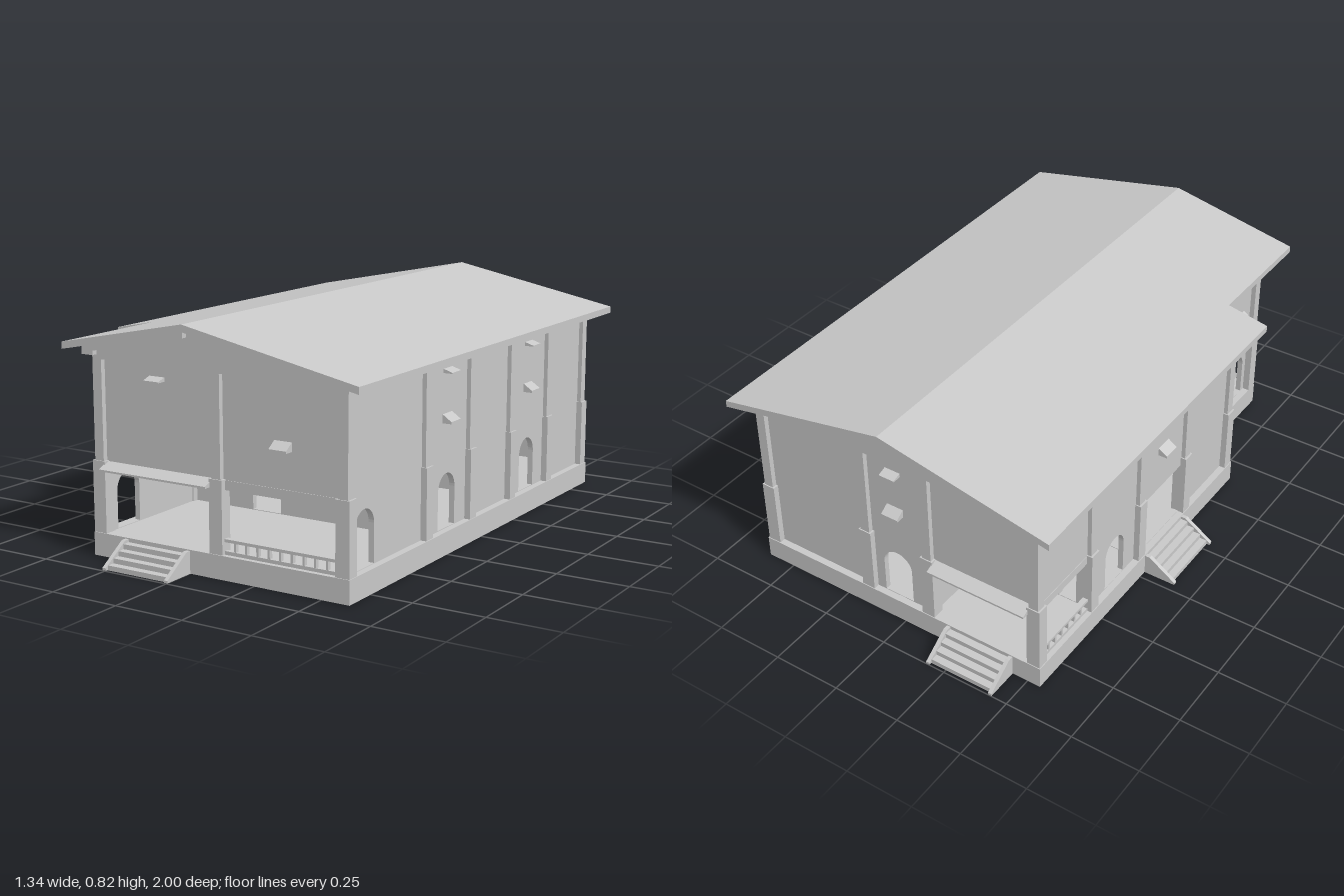
import * as THREE from 'three';

export function createModel() {
  const root = new THREE.Group();
  root.name = 'house';
  const plaster = new THREE.MeshStandardMaterial({ color: 0xc8c8c8, side: THREE.DoubleSide });
  plaster.name = 'grey plaster';

  const add = (name, geo, parent = root) => {
    const m = new THREE.Mesh(geo, plaster);
    m.name = name;
    parent.add(m);
    return m;
  };
  // Box given by its limits on each axis
  const box = (name, x0, x1, y0, y1, z0, z1, parent) => {
    const m = add(name, new THREE.BoxGeometry(x1 - x0, y1 - y0, z1 - z0), parent);
    m.position.set((x0 + x1) / 2, (y0 + y1) / 2, (z0 + z1) / 2);
    return m;
  };
  const poly = (pts) => new THREE.Shape(pts.map(([x, y]) => new THREE.Vector2(x, y)));
  const extrude = (shape, depth) =>
    new THREE.ExtrudeGeometry(shape, { depth, bevelEnabled: false, curveSegments: 10 });

  // L-shaped plan, inset by d, raised from y0 to y1; a second inset hollows it
  const outline = (d) => {
    const l = -0.55 + d, r = 0.605 - d, e = 0.88 - d, n = -0.39 + d, nz = 0.4 - d;
    return poly([[l, e], [l, -nz], [n, -nz], [n, -e], [r, -e], [r, e]]);
  };
  const plan = (name, d, y0, y1, inner) => {
    const s = outline(d);
    if (inner) s.holes.push(outline(inner));
    const g = extrude(s, y1 - y0);
    g.rotateX(-Math.PI / 2);
    add(name, g).position.y = y0;
  };
  plan('foundation', 0, 0, 0.08);
  plan('upperWalls', 0.025, 0.315, 0.665, 0.045);
  plan('firstFloor', 0.026, 0.306, 0.322);
  plan('secondFloor', 0.044, 0.49, 0.507);
  plan('atticFloor', 0.044, 0.652, 0.664);

  // Lower walls with arches (centre) and square doors (from, to, top)
  const T = 0.02, Y0 = 0.08, Y1 = 0.315;
  const wallShape = (a, b, arches, doors) => {
    const s = poly([[a, Y0], [b, Y0], [b, Y1], [a, Y1]]);
    for (const c of arches) {
      const h = new THREE.Path();
      h.moveTo(c - 0.058, Y0 + 0.002);
      h.lineTo(c + 0.058, Y0 + 0.002);
      h.lineTo(c + 0.058, 0.212);
      h.absarc(c, 0.212, 0.058, 0, Math.PI, false);
      h.closePath();
      s.holes.push(h);
    }
    for (const [p, q, top] of doors)
      s.holes.push(poly([[p, Y0 + 0.002], [q, Y0 + 0.002], [q, top], [p, top]]));
    return s;
  };
  const wallX = (name, z, a, b, arches = [], doors = []) => {
    add(name, extrude(wallShape(a, b, arches, doors), T)).position.z = z;
  };
  const wallZ = (name, xMax, a, b, arches = [], doors = []) => {
    const m = add(name, extrude(wallShape(a, b, arches, doors), T));
    m.rotation.y = -Math.PI / 2;
    m.position.x = xMax;
  };
  wallZ('leftWall', 0.58, -0.85, 0.85, [0.752, 0.222, -0.39]);
  wallZ('rightWall', -0.505, -0.545, 0.37, [-0.39], [[-0.215, 0.045, 0.29]]);
  wallZ('frontPorchSideWall', -0.345, 0.37, 0.85, [0.752]);
  wallX('frontPorchBackWall', 0.355, -0.515, 0.57, [-0.439, -0.04, 0.445]);
  wallX('backWall', -0.855, -0.1, 0.57, [0.037]);
  wallX('backPorchInnerWall', -0.555, -0.515, -0.1, [], [[-0.478, -0.41, 0.21]]);
  wallZ('backPorchSideWall', -0.09, -0.848, -0.545);
  wallX('crossPartition', -0.25, -0.5, 0.57, [], [[-0.478, -0.41, 0.21], [-0.008, 0.07, 0.21]]);
  wallZ('longPartition', 0.26, -0.84, 0.35);
  wallZ('entranceInnerWall', -0.31, -0.24, 0.35, [-0.085]);

  // Beams over the open porches
  box('frontBeam', -0.365, 0.58, 0.29, 0.322, 0.835, 0.857);
  box('backBeam', -0.525, -0.1, 0.29, 0.322, -0.857, -0.835);
  box('porchSideBeam', -0.527, -0.505, 0.29, 0.322, -0.855, -0.545);

  // Pillars: thick below, slimmer above
  const pillar = (x, z) => {
    const g = new THREE.Group();
    g.name = 'pillar';
    root.add(g);
    box('pillarBase', x - 0.025, x + 0.025, 0.08, 0.325, z - 0.022, z + 0.022, g);
    box('pillarShaft', x - 0.018, x + 0.018, 0.325, 0.667, z - 0.018, z + 0.018, g);
  };
  const bays = [0.855, 0.375, 0.067, -0.24, -0.545, -0.855];
  bays.forEach((z, i) => {
    pillar(0.577, z);
    if (i > 0) pillar(-0.522, z);
  });
  for (const [x, z] of [[-0.365, 0.855], [0.106, 0.855], [-0.365, 0.375], [0.155, -0.855], [-0.1, -0.855]])
    pillar(x, z);

  // Roof: gable slab, narrower over the notched front corner
  const roofY = (x) => 0.818 - Math.abs(x - 0.022) * 0.2;
  const slope = (xa, xb, top, thick) => {
    const xs = xa < 0.022 && xb > 0.022 ? [xa, 0.022, xb] : [xa, xb];
    return poly([
      ...xs.map((x) => [x, roofY(x) - top - thick]),
      ...xs.slice().reverse().map((x) => [x, roofY(x) - top]),
    ]);
  };
  const strip = (name, xa, xb, top, thick, z0, z1) => {
    add(name, extrude(slope(xa, xb, top, thick), z1 - z0)).position.z = z0;
  };
  strip('roofMain', -0.62, 0.665, 0, 0.024, -0.932, 0.452);
  strip('roofFront', -0.465, 0.665, 0, 0.024, 0.452, 0.927);

  // Gable walls under the roof, flush with the pillar faces
  const gable = (xa, xb, z0, z1) => {
    const u = (x) => roofY(x) - 0.02;
    const peak = xb > 0.022 ? [[0.022, u(0.022)]] : [];
    const s = poly([[xa, 0.665], [xb, 0.665], [xb, u(xb)], ...peak, [xa, u(xa)]]);
    add('gable', extrude(s, z1 - z0)).position.z = z0;
  };
  gable(-0.54, 0.595, -0.873, -0.838);
  gable(-0.54, -0.365, 0.358, 0.393);
  gable(-0.383, 0.595, 0.838, 0.873);

  // Sloping trim and wall plates below the eaves
  strip('gableTrim', -0.41, 0.0, 0.024, 0.022, 0.87, 0.893);
  strip('gableTrim', 0.295, 0.61, 0.024, 0.022, 0.87, 0.893);
  strip('gableTrim', -0.57, -0.38, 0.024, 0.022, 0.39, 0.413);
  strip('gableTrim', -0.57, 0.61, 0.024, 0.022, -0.893, -0.87);
  box('wallPlate', 0.56, 0.61, 0.655, 0.69, -0.893, 0.893);
  box('wallPlate', -0.57, -0.505, 0.655, 0.69, -0.893, 0.413);
  box('wallPlate', -0.41, -0.365, 0.68, 0.715, 0.413, 0.893);
  box('atticWall', -0.383, -0.348, 0.66, 0.725, 0.36, 0.87);

  // Sloping hoods, facing +z before turning
  const hood = (name, x, y, z, turn, w, h, d) => {
    const g = extrude(poly([[0, 0], [d, 0], [d, h * 0.25], [0, h]]), w);
    g.translate(0, 0, -w / 2);
    g.rotateY(-Math.PI / 2);
    const m = add(name, g);
    m.position.set(x, y, z);
    m.rotation.y = turn;
  };
  const vent = (x, z, turn) => hood('ventHood', x, 0.613, z, turn, 0.06, 0.014, 0.033);
  const windowHood = (x, z, turn) => hood('windowHood', x, 0.445, z, turn, 0.065, 0.03, 0.033);
  const L = Math.PI / 2, B = Math.PI;
  for (const z of [0.222, -0.39]) {
    vent(0.58, z, L);
    windowHood(0.58, z, L);
  }
  vent(-0.525, -0.39, -L);
  windowHood(-0.525, -0.085, -L);
  vent(-0.365, 0.752, -L);
  windowHood(-0.365, 0.752, -L);
  vent(-0.133, 0.855, 0);
  vent(-0.443, 0.375, 0);
  windowHood(0.35, 0.855, 0);
  vent(0.033, -0.855, B);
  windowHood(0.033, -0.855, B);

  // Long awnings over the porch entrances
  hood('frontAwning', -0.13, 0.297, 0.857, 0, 0.43, 0.026, 0.045);
  hood('backAwning', -0.312, 0.297, -0.857, B, 0.38, 0.026, 0.045);

  // Balustrade running along x from its own origin
  const balustrade = (len, n) => {
    const g = new THREE.Group();
    g.name = 'balustrade';
    box('bottomRail', 0, len, 0.08, 0.092, -0.008, 0.008, g);
    box('topRail', 0, len, 0.122, 0.132, -0.01, 0.01, g);
    for (let i = 0; i <= n; i++) {
      const x = (len * i) / n;
      box('baluster', x - 0.004, x + 0.004, 0.09, 0.124, -0.007, 0.007, g);
    }
    root.add(g);
    return g;
  };
  balustrade(0.43, 10).position.set(0.126, 0, 0.855);
  const side = balustrade(0.27, 7);
  side.rotation.y = -Math.PI / 2;
  side.position.set(-0.523, 0, -0.835);

  // Open-backed steps between sloping cheeks, descending toward +z before turning
  const stairs = (x, z, turn) => {
    const g = new THREE.Group();
    g.name = 'stairs';
    for (let i = 0; i < 4; i++) {
      const top = 0.066 - i * 0.017, end = (i + 1) * 0.027;
      box('tread', -0.12, 0.12, top - 0.006, top, i * 0.027, end, g);
      box('riser', -0.12, 0.12, top - 0.017, top - 0.006, end - 0.006, end, g);
    }
    for (const s of [-1, 1]) {
      const c = extrude(poly([[0, 0], [0.12, 0], [0.12, 0.008], [0.018, 0.076], [0, 0.076]]), 0.014);
      c.translate(0, 0, -0.007);
      c.rotateY(-Math.PI / 2);
      add('stairCheek', c, g).position.x = s * 0.125;
    }
    g.position.set(x, 0, z);
    g.rotation.y = turn;
    root.add(g);
  };
  stairs(-0.127, 0.88, 0);
  stairs(-0.31, -0.88, B);
  stairs(-0.55, -0.09, -L);

  return root;
}
